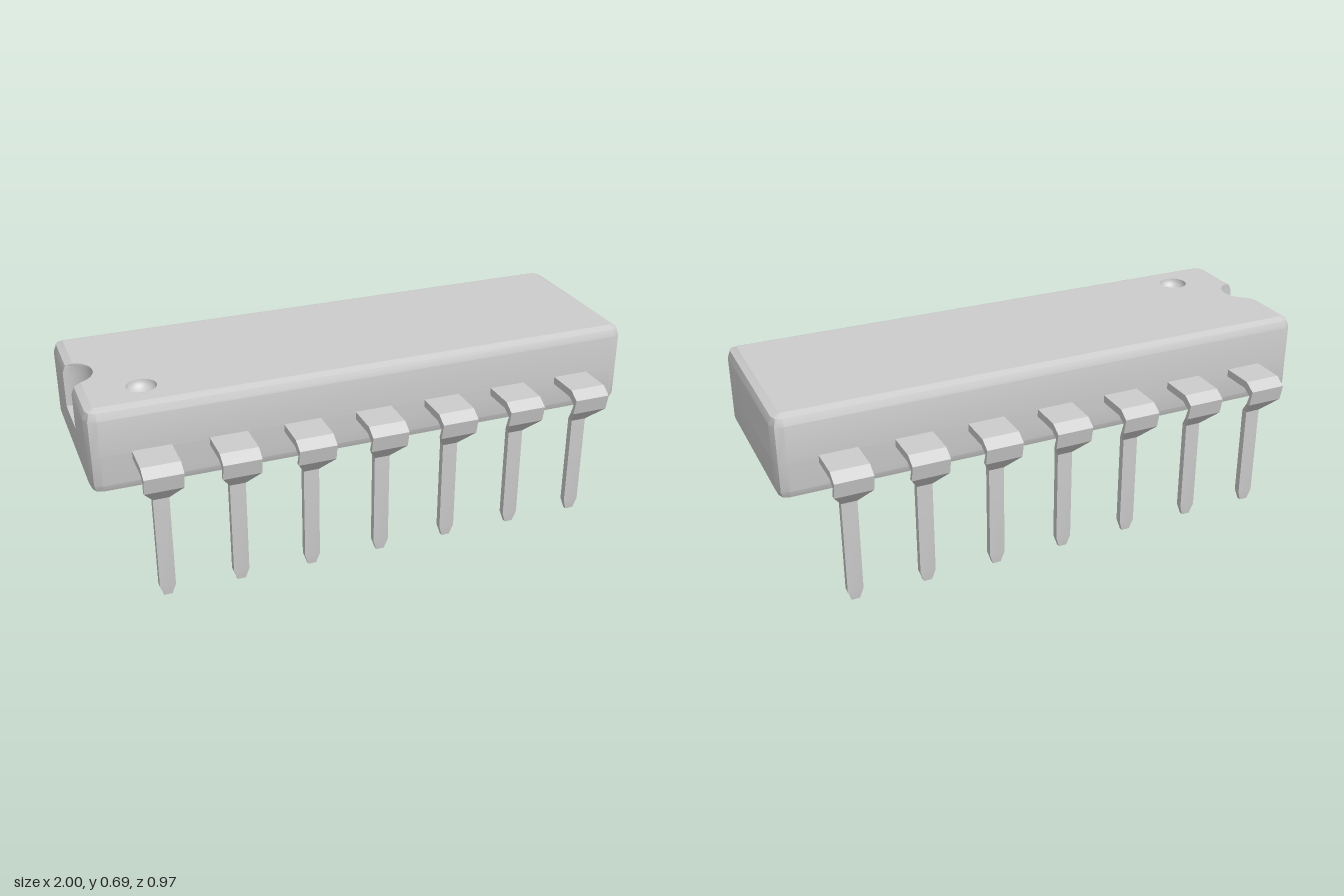
import * as THREE from 'three';
import { toCreasedNormals } from 'three/addons/utils/BufferGeometryUtils.js';

const material = new THREE.MeshStandardMaterial({ color: 0xcccccc, side: THREE.DoubleSide });
const HALF_X = 1, HALF_Z = 0.325, CORNER = 0.04;
const BOTTOM = 0.387, TOP = 0.695, BEVEL = 0.035;
const NOTCH_R = 0.09, NOTCH_FLOOR = 0.53;

function addMesh(parent, name, geometry) {
  const mesh = new THREE.Mesh(geometry, material);
  mesh.name = name;
  parent.add(mesh);
  return mesh;
}

// Skin a list of equally sized closed rings; optionally cap the last quad ring
function loft(rings, capEnd = false) {
  const pos = [];
  const tri = (...pts) => pts.forEach((p) => pos.push(p.x, p.y, p.z));
  for (let i = 0; i < rings.length - 1; i++) {
    const lo = rings[i], up = rings[i + 1], n = lo.length;
    for (let j = 0; j < n; j++) {
      const k = (j + 1) % n;
      tri(lo[j], lo[k], up[k]);
      tri(lo[j], up[k], up[j]);
    }
  }
  if (capEnd) {
    const [a, b, c, d] = rings[rings.length - 1];
    tri(a, b, c);
    tri(a, c, d);
  }
  const geometry = new THREE.BufferGeometry();
  geometry.setAttribute('position', new THREE.Float32BufferAttribute(pos, 3));
  return toCreasedNormals(geometry, 0.4);
}

// Plan outline of the body (x, -z), counter-clockwise, with an optional end notch
function outline(inset, notched) {
  const pts = [];
  const signs = [[1, 1], [-1, 1], [-1, -1], [1, -1]];
  signs.forEach(([sx, sy], corner) => {
    for (let k = 0; k <= 2; k++) {
      const a = (corner + k / 2) * Math.PI / 2;
      pts.push(new THREE.Vector2(
        sx * (HALF_X - CORNER) + Math.cos(a) * (CORNER - inset),
        sy * (HALF_Z - CORNER) + Math.sin(a) * (CORNER - inset)));
    }
    if (corner === 1 && notched) {
      const start = Math.acos(inset / NOTCH_R);
      for (let k = 0; k <= 20; k++) {
        const a = start * (1 - k / 10);
        pts.push(new THREE.Vector2(-HALF_X + NOTCH_R * Math.cos(a), NOTCH_R * Math.sin(a)));
      }
    }
  });
  return pts;
}

const layer = (y, inset, notched) =>
  outline(inset, notched).map((p) => new THREE.Vector3(p.x, y, -p.y));

function createBody() {
  const body = new THREE.Group();
  body.name = 'body';

  // Side walls with bevelled edges, below and beside the notch
  addMesh(body, 'lowerWalls', loft([
    layer(BOTTOM, BEVEL, false),
    layer(BOTTOM + 0.01, 0.01, false),
    layer(BOTTOM + BEVEL, 0, false),
    layer(NOTCH_FLOOR, 0, false),
  ]));
  addMesh(body, 'upperWalls', loft([
    layer(NOTCH_FLOOR, 0, true),
    layer(TOP - BEVEL, 0, true),
    layer(TOP - 0.01, 0.01, true),
    layer(TOP, BEVEL, true),
  ]));

  // Top face with a round hole for the pin-one dimple
  const dimpleX = -0.78, dimpleZ = 0.18, dimpleR = 0.052;
  const topShape = new THREE.Shape(outline(BEVEL, true));
  topShape.holes.push(new THREE.Path().absarc(dimpleX, -dimpleZ, dimpleR, 0, Math.PI * 2, true));
  addMesh(body, 'topFace', new THREE.ShapeGeometry(topShape, 24).rotateX(-Math.PI / 2))
    .position.y = TOP;

  // Concave dimple
  const bowl = [];
  for (let i = 0; i <= 8; i++) {
    const a = (i / 8) * Math.PI / 2;
    bowl.push(new THREE.Vector2(dimpleR * Math.sin(a), -0.04 * Math.cos(a)));
  }
  addMesh(body, 'dimple', new THREE.LatheGeometry(bowl, 24)).position.set(dimpleX, TOP, dimpleZ);

  // Half-round notch floor
  const floor = new THREE.Shape().absarc(0, 0, NOTCH_R, -Math.PI / 2, Math.PI / 2, false);
  addMesh(body, 'notchFloor', new THREE.ShapeGeometry(floor, 20).rotateX(-Math.PI / 2))
    .position.set(-HALF_X, NOTCH_FLOOR, 0);

  // Underside and its two standoff pads
  const under = new THREE.Shape(outline(BEVEL, false));
  addMesh(body, 'underside', new THREE.ShapeGeometry(under).rotateX(Math.PI / 2))
    .position.y = BOTTOM;
  for (const side of [-1, 1]) {
    addMesh(body, 'standoffPad', new THREE.BoxGeometry(0.175, 0.06, 0.31))
      .position.set(side * 0.633, 0.364, 0);
  }
  return body;
}

// Bent pin: each section is [outer z, outer y, inner z, inner y, half width]
function pinGeometry() {
  const sections = [
    [0.30, 0.535, 0.30, 0.507, 0.067],
    [0.447, 0.535, 0.437, 0.507, 0.067],
    [0.487, 0.51, 0.47, 0.488, 0.067],
    [0.475, 0.452, 0.458, 0.452, 0.067],
    [0.409, 0.386, 0.384, 0.386, 0.028],
    [0.409, 0.04, 0.384, 0.04, 0.028],
    [0.404, 0, 0.389, 0, 0.015],
  ];
  return loft(sections.map(([oz, oy, iz, iy, w]) => [
    new THREE.Vector3(w, oy, oz),
    new THREE.Vector3(-w, oy, oz),
    new THREE.Vector3(-w, iy, iz),
    new THREE.Vector3(w, iy, iz),
  ]), true);
}

export function createModel() {
  const model = new THREE.Group();
  model.name = 'integratedCircuit';
  model.add(createBody());

  // Two rows of seven pins
  const pin = pinGeometry();
  for (const [name, turn] of [['frontPins', 0], ['backPins', Math.PI]]) {
    const row = new THREE.Group();
    row.name = name;
    row.rotation.y = turn;
    for (let i = -3; i <= 3; i++) addMesh(row, 'pin', pin).position.x = i * 0.263;
    model.add(row);
  }
  return model;
}
